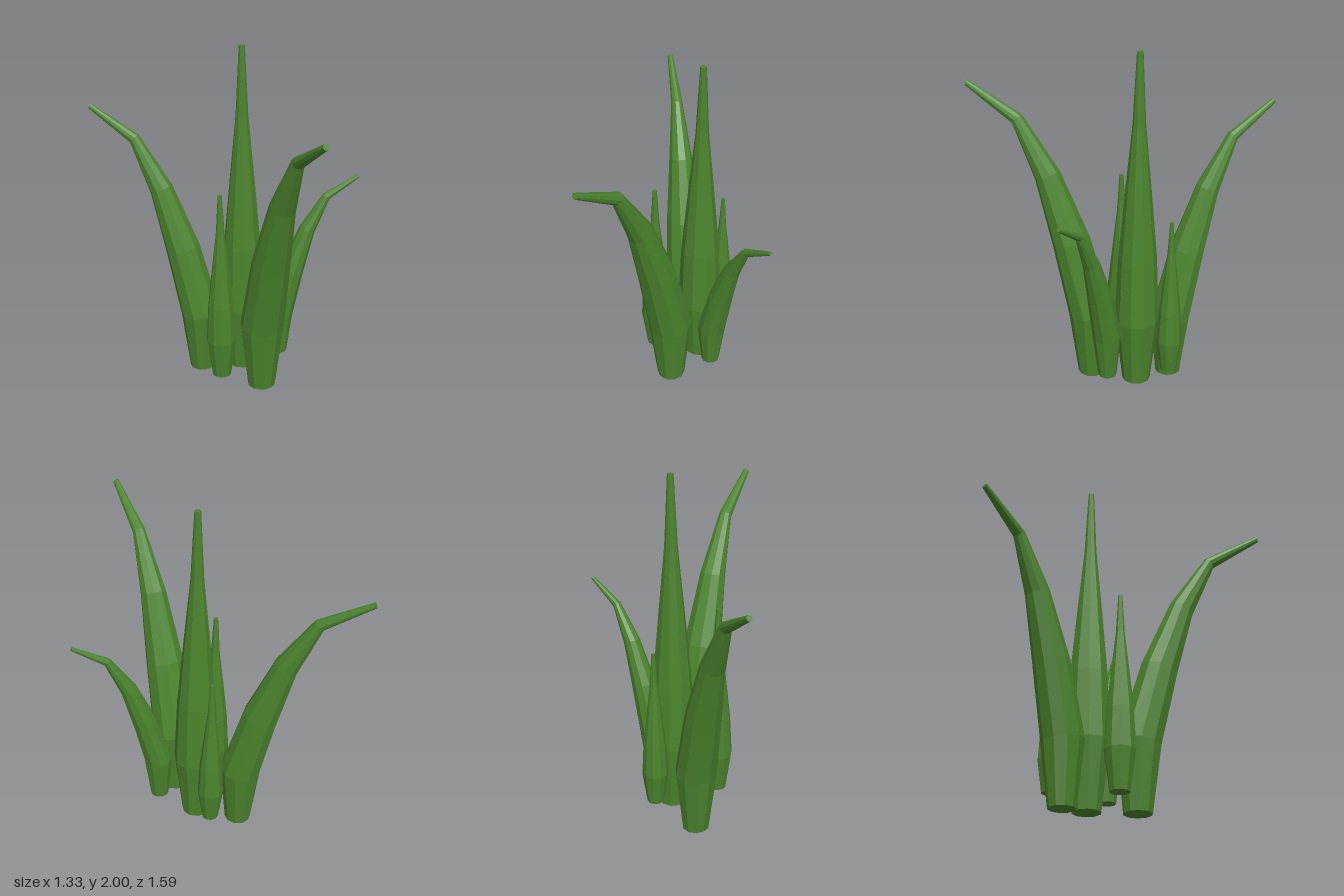
import * as THREE from 'three';

const SIDES = 10;
const RADII = [0.08, 0.125, 0.108, 0.073, 0.036, 0.017];
// Rings of each stalk type: [outward offset, height, lean in degrees]
const STRAIGHT = [0, 1, 2, 3, 4, 5].map((i) => [0, i * 0.391, 0]);
const BENT = [
  [0, 0, 0], [0.007, 0.391, 8], [0.12, 0.825, 17],
  [0.255, 1.21, 24], [0.425, 1.518, 44], [0.715, 1.695, 65],
];

// Closed tapering stalk that leans towards +z along the given rings
function leafGeometry(rings) {
  const geo = new THREE.CylinderGeometry(1, 1, 1, SIDES, rings.length - 1, false, Math.PI / 2);
  const pos = geo.attributes.position;
  for (let i = 0; i < pos.count; i++) {
    const k = Math.round((pos.getY(i) + 0.5) * (rings.length - 1));
    const [out, height, lean] = rings[k];
    const a = THREE.MathUtils.degToRad(lean);
    const x = pos.getX(i) * RADII[k];
    const z = pos.getZ(i) * RADII[k];
    pos.setXYZ(i, x, height - z * Math.sin(a), out + z * Math.cos(a));
  }
  geo.computeVertexNormals();
  return geo;
}

export function createModel() {
  const group = new THREE.Group();
  group.name = 'grassTuft';
  const material = new THREE.MeshStandardMaterial({ color: 0x4b842d, flatShading: true });
  const straight = leafGeometry(STRAIGHT);
  const bent = leafGeometry(BENT);

  // width scales x and z, height scales y, yaw turns the bend around y
  const addLeaf = (name, geometry, position, width, height, yaw = 0) => {
    const leaf = new THREE.Mesh(geometry, material);
    leaf.name = name;
    leaf.position.set(...position);
    leaf.scale.set(width, height, width);
    leaf.rotation.y = yaw;
    group.add(leaf);
  };

  // Upright leaves
  addLeaf('tallLeaf', straight, [0.035, 0.045, -0.2], 1, 1);
  addLeaf('shortRightLeaf', straight, [-0.168, 0.1, -0.042], 0.69, 0.575);
  addLeaf('shortBackLeaf', straight, [0.048, 0.15, -0.395], 0.575, 0.47);

  // Drooping leaves
  addLeaf('frontBentLeaf', bent, [0.035, 0.045, 0.07], 1, 1);
  addLeaf('backBentLeaf', bent, [-0.172, 0.003, -0.335], 0.93, 0.93, Math.atan2(-0.485, -0.455));
  addLeaf('leftBentLeaf', bent, [0.213, 0.15, -0.082], 0.64, 0.64, Math.atan2(0.443, 0.113));

  return group;
}
